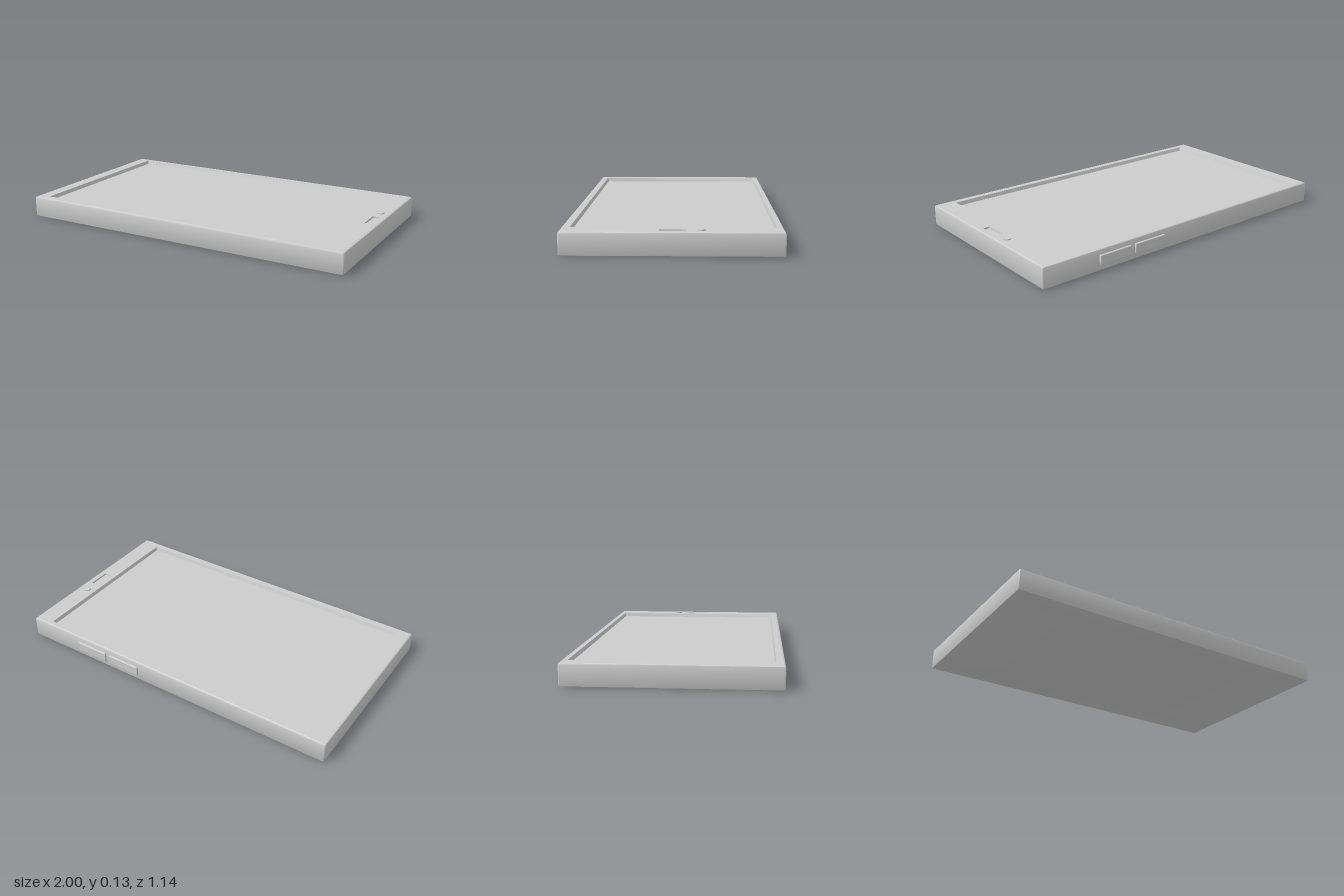
import * as THREE from 'three';
import { mergeVertices, toCreasedNormals } from 'three/addons/utils/BufferGeometryUtils.js';

const material = new THREE.MeshStandardMaterial({ color: 0xcccccc });
const TOP = 0.123;
const BODY_Z = 0.0055;

// Points of a rounded rectangle, counter-clockwise seen from above (second axis is -z)
function outline(w, d, r, cx = 0, cz = 0) {
  const points = [];
  const steps = 4;
  const corners = [[1, 1], [-1, 1], [-1, -1], [1, -1]];
  corners.forEach(([sx, sy], c) => {
    for (let i = 0; i <= steps; i++) {
      const a = (c + i / steps) * Math.PI / 2;
      points.push(new THREE.Vector2(
        cx + sx * (w / 2 - r) + r * Math.cos(a),
        -cz + sy * (d / 2 - r) + r * Math.sin(a)));
    }
  });
  return points;
}

// Skin through rings [width, depth, y, cornerRadius]; a zero-size ring closes an end.
// Rising rings face outward, falling rings face inward (a recess).
function loft(rings) {
  const loops = rings.map(([w, d, y, r]) =>
    outline(w, d, r).map(p => new THREE.Vector3(p.x, y, -p.y)));
  const triangles = [];
  const add = (a, b, c) => {
    const area = b.clone().sub(a).cross(c.clone().sub(a)).length();
    if (area > 1e-10) triangles.push(a, b, c);
  };
  for (let k = 0; k < loops.length - 1; k++) {
    const lower = loops[k], upper = loops[k + 1], n = lower.length;
    for (let i = 0; i < n; i++) {
      const j = (i + 1) % n;
      add(lower[i], lower[j], upper[j]);
      add(lower[i], upper[j], upper[i]);
    }
  }
  const geometry = mergeVertices(new THREE.BufferGeometry().setFromPoints(triangles));
  return toCreasedNormals(geometry, 0.5);
}

function part(name, geometry, x = 0, y = 0, z = 0) {
  const mesh = new THREE.Mesh(geometry, material);
  mesh.name = name;
  mesh.position.set(x, y, z);
  return mesh;
}

export function createModel() {
  const group = new THREE.Group();
  group.name = 'phone';

  // Shell: closed back, sides and softened edges
  group.add(part('shell', loft([
    [0, 0, 0, 0],
    [1.984, 1.109, 0, 0.004],
    [1.995, 1.12, 0.003, 0.007],
    [2, 1.125, 0.009, 0.009],
    [2, 1.125, TOP - 0.012, 0.009],
    [1.994, 1.119, TOP - 0.004, 0.007],
    [1.98, 1.105, TOP, 0.004],
  ]), 0, 0, BODY_Z));

  // Bezel: top face with openings for the screen and earpiece
  const screen = { w: 1.804, d: 1.046, r: 0.006, x: -0.02, z: 0 };
  const slot = { w: 0.04, d: 0.14, r: 0.006, x: 0.942, z: 0 };
  const face = new THREE.Shape(outline(1.98, 1.105, 0.004, 0, BODY_Z));
  for (const o of [screen, slot]) {
    face.holes.push(new THREE.Path(outline(o.w, o.d, o.r, o.x, o.z)));
  }
  group.add(part('bezel', new THREE.ShapeGeometry(face).rotateX(-Math.PI / 2), 0, TOP, 0));

  // Screen and earpiece recesses
  const recess = (name, o, depth, inset) => group.add(part(name, loft([
    [o.w, o.d, 0, o.r],
    [o.w - inset, o.d - inset, -depth, o.r],
    [0, 0, -depth, 0],
  ]), o.x, TOP, o.z));
  recess('screen', screen, 0.022, 0.012);
  recess('earpiece', slot, 0.01, 0.003);

  // Round sensor beside the earpiece
  group.add(part('sensor', new THREE.CylinderGeometry(0.022, 0.023, 0.012, 32),
    0.94, TOP, -0.14));

  // Two side buttons on the back edge
  for (const x of [0.31, 0.545]) {
    const button = part('sideButton', loft([
      [0.208, 0.056, -0.004, 0.005],
      [0.208, 0.056, 0.009, 0.005],
      [0.202, 0.05, 0.0115, 0.003],
      [0, 0, 0.0115, 0],
    ]), x, 0.0625, BODY_Z - 0.5625);
    button.rotation.x = -Math.PI / 2;
    group.add(button);
  }

  return group;
}
